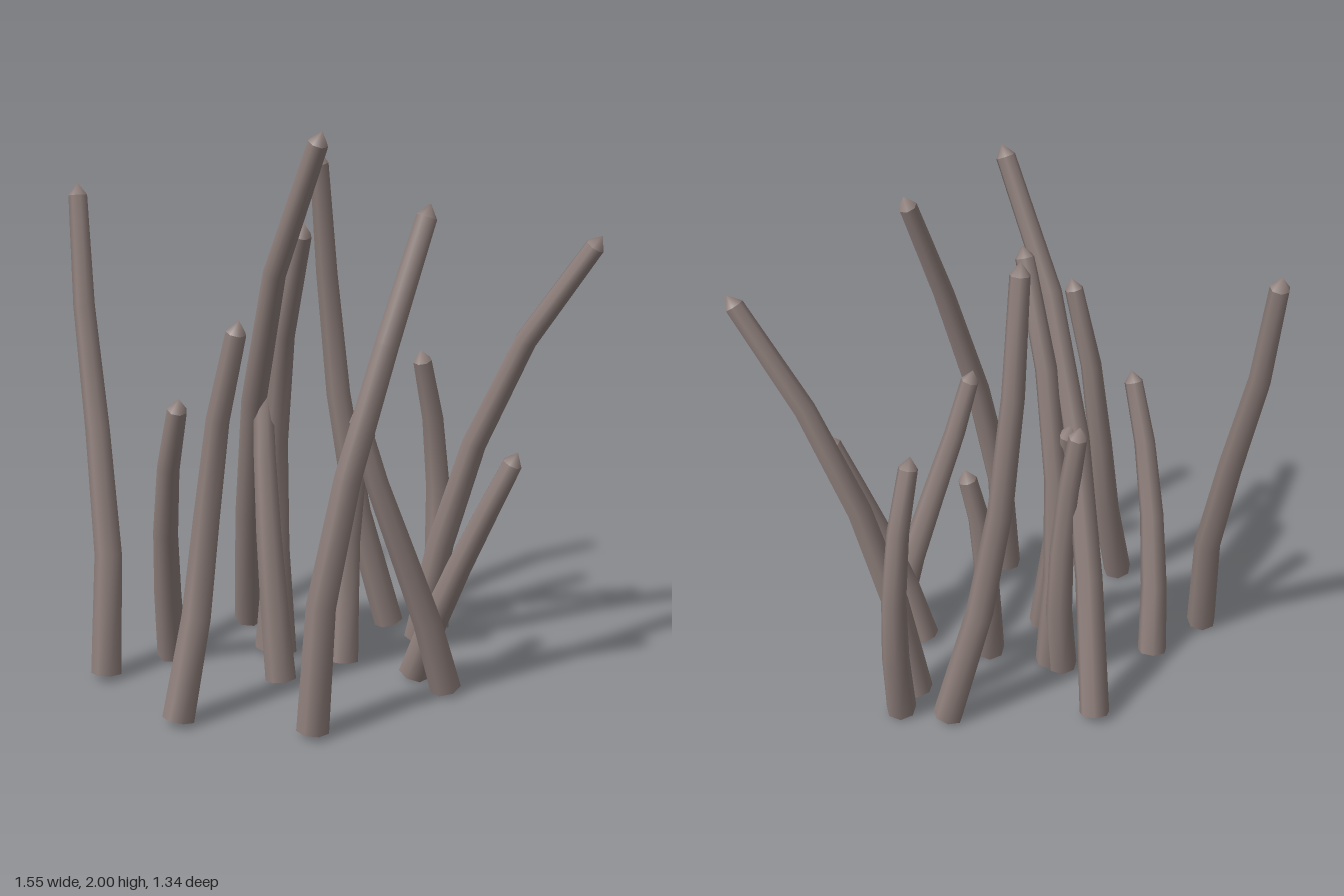
import * as THREE from 'three';

const SIDES = 7, BASE_R = 0.057, TIP_R = 0.035, TIP_LEN = 0.045, FOOT_Y = 0.02;

// One row per stalk: height, then x, z at the foot, a quarter up, three quarters up and the tip
const STALKS = [
  [1.75, -.72, -.28, -.67, -.33, -.61, -.57, -.58, -.65],
  [1.1, -.44, -.29, -.48, -.24, -.56, -.07, -.57, .03],
  [1.41, -.69, .19, -.6, .17, -.52, .2, -.49, .29],
  [2, -.02, -.42, -.11, -.27, -.235, .11, -.2, .34],
  [1.68, -.09, -.08, -.1, -.1, -.14, .02, -.17, .19],
  [1.78, -.36, .52, -.32, .51, -.12, .59, .04, .6],
  [1.09, .22, .51, .14, .5, -.05, .45, -.12, .42],
  [1.86, .41, -.08, .3, -.14, .22, -.235, .15, -.19],
  [.92, .05, .12, .08, .09, .125, .08, .165, .11],
  [.9, .2, .35, .23, .42, .34, .57, .4, .65],
  [1.61, .41, .11, .45, .18, .63, .41, .76, .64],
  [1.13, .525, .06, .56, .03, .53, .02, .45, .04],
  [1.13, -.11, -.13, -.08, -.14, -.11, -.15, -.12, -.19],
  [1.08, -.225, .12, -.225, .08, -.19, -.03, -.15, -.1],
];

// Centre line at five even heights; the middle lies on the cubic through the other four
function centreLine([height, x0, z0, x1, z1, x3, z3, x4, z4]) {
  const middle = (a, b, c, d) => (b + c) * 2 / 3 - (a + d) / 6;
  const spots = [[x0, z0], [x1, z1], [middle(x0, x1, x3, x4), middle(z0, z1, z3, z4)], [x3, z3], [x4, z4]];
  return spots.map(([x, z], i) => new THREE.Vector3(x, THREE.MathUtils.lerp(FOOT_Y, height, i / 4), z));
}

function geometryFrom(points, index) {
  const g = new THREE.BufferGeometry().setFromPoints(points);
  g.setIndex(index);
  return g;
}

function makeStalk(pts, material, name) {
  const last = pts.length - 1;
  const apex = pts[last].clone();
  // pull the last ring back to leave room for the pointed end
  pts[last].addScaledVector(apex.clone().sub(pts[last - 1]).normalize(), -TIP_LEN);

  // tapered rings square to the centre line
  const rings = pts.map((p, i) => {
    const t = pts[Math.min(i + 1, last)].clone().sub(pts[Math.max(i - 1, 0)]).normalize();
    const u = new THREE.Vector3(1, 0, 0).addScaledVector(t, -t.x).normalize();
    const v = t.clone().cross(u);
    const r = THREE.MathUtils.lerp(BASE_R, TIP_R, i / last);
    return Array.from({ length: SIDES }, (_, j) => {
      const a = j / SIDES * Math.PI * 2;
      return p.clone().addScaledVector(u, r * Math.cos(a)).addScaledVector(v, r * Math.sin(a));
    });
  });

  const side = [], tip = [], foot = [];
  for (let j = 0; j < SIDES; j++) {
    const k = (j + 1) % SIDES;
    for (let i = 0; i < last; i++) {
      const a = i * SIDES + j, b = i * SIDES + k;
      side.push(a, b, b + SIDES, a, b + SIDES, a + SIDES);
    }
    tip.push(j, k, SIDES);
    foot.push(k, j, SIDES);
  }

  const stalk = new THREE.Group();
  stalk.name = name;
  const parts = {
    shaft: geometryFrom(rings.flat(), side),
    point: geometryFrom([...rings[last], apex], tip),
    foot: geometryFrom([...rings[0], pts[0]], foot),
  };
  for (const [part, geometry] of Object.entries(parts)) {
    geometry.computeVertexNormals();
    const mesh = new THREE.Mesh(geometry, material);
    mesh.name = part;
    stalk.add(mesh);
  }
  return stalk;
}

export function createModel() {
  const bark = new THREE.MeshStandardMaterial({ color: 0x8e7f7b });
  bark.name = 'greyBrownBark';
  const model = new THREE.Group();
  model.name = 'stalkCluster';
  STALKS.forEach((row, i) => model.add(makeStalk(centreLine(row), bark, `stalk${i + 1}`)));
  return model;
}
